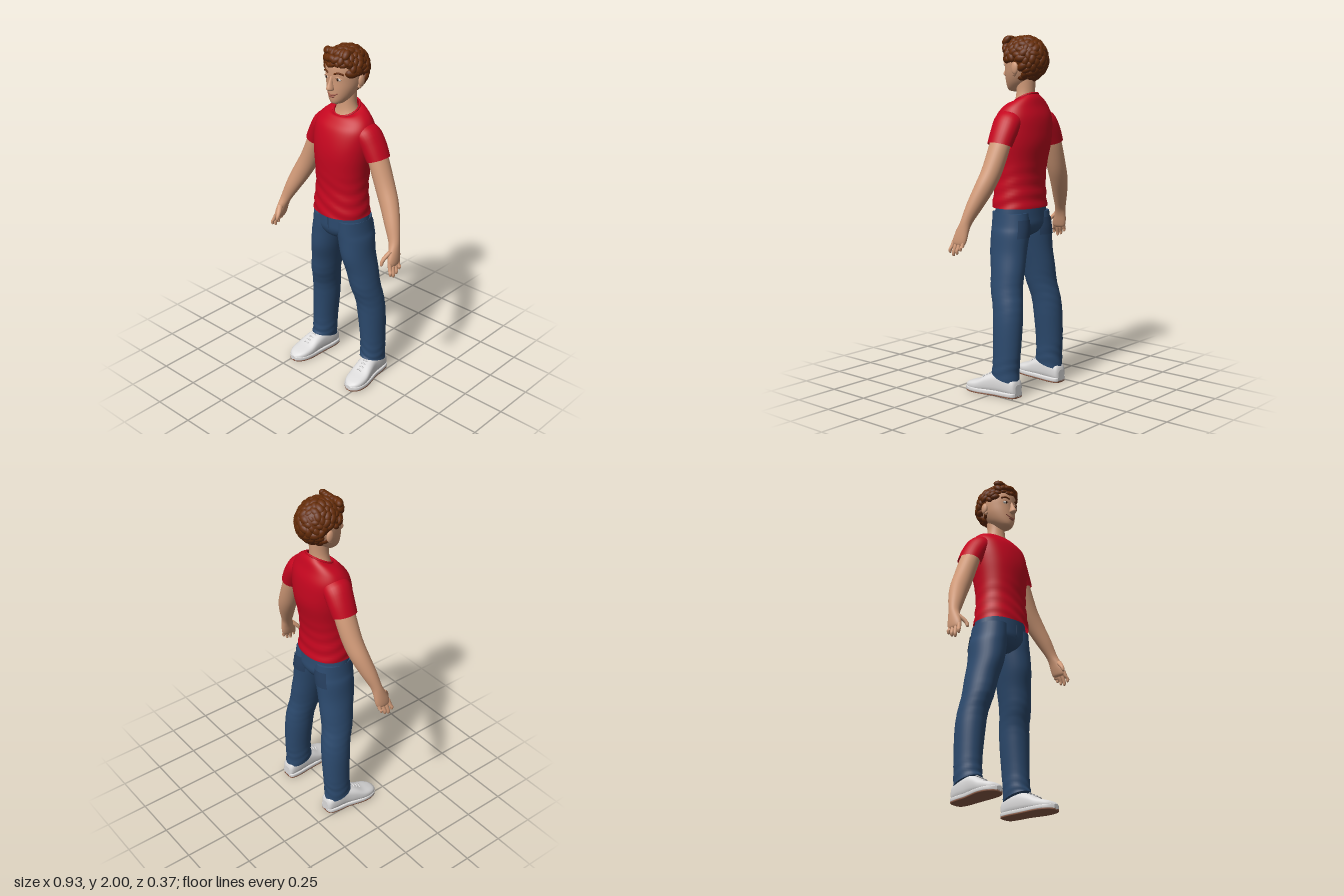
import * as THREE from 'three';
import { mergeGeometries } from 'three/addons/utils/BufferGeometryUtils.js';

const mat = (name, color, side = THREE.FrontSide) => {
  const m = new THREE.MeshStandardMaterial({ color, side });
  m.name = name;
  return m;
};

// Catmull-Rom between rows of numbers
function smoothRows(rows, k) {
  const out = [];
  for (let i = 0; i < rows.length - 1; i++) {
    const p = [rows[Math.max(i - 1, 0)], rows[i], rows[i + 1], rows[Math.min(i + 2, rows.length - 1)]];
    for (let s = 0; s < k; s++) {
      const t = s / k;
      out.push(rows[i].map((_, c) => {
        const [a, b, d, e] = p.map(r => r[c]);
        return b + 0.5 * t * (d - a + t * (2 * a - 5 * b + 4 * d - e + t * (3 * (b - d) + e - a)));
      }));
    }
  }
  out.push(rows[rows.length - 1]);
  return out;
}

// Skin over cross-sections. Row: [x, y, z, radiusU, radiusV, angle in degrees, tilt].
// Rings lie across y (rows go downward), or across z when alongZ (rows go forward).
function loft(input, { seg = 32, k = 4, power = 1, alongZ = false, start = 0, arc = Math.PI * 2, warp = null, caps = true } = {}) {
  const closed = arc > 6.28;
  let rows = smoothRows(input.map(r => [...r, 0, 0].slice(0, 7)), k);
  if (caps && closed) {
    const point = r => [r[0], r[1], r[2], 0, 0, 0, 0];
    const a = rows[0], b = rows[rows.length - 1];
    rows = [point(a), a, ...rows, b, point(b)];
  }
  const n = closed ? seg : seg + 1, pos = [], idx = [];
  const bend = v => Math.sign(v) * Math.abs(v) ** power;
  for (const [x, y, z, a, b, ang, tilt] of rows) {
    const g = ang * Math.PI / 180;
    for (let j = 0; j < n; j++) {
      const th = start + arc * j / seg, w = warp ? warp(y, th) : 1;
      const u = a * w * bend(Math.cos(th)), v = b * w * bend(Math.sin(th));
      if (alongZ) pos.push(x + u, y + v, z);
      else pos.push(x + u * Math.cos(g), y + u * Math.sin(g) + tilt * Math.sin(th), z + v);
    }
  }
  for (let i = 0; i < rows.length - 1; i++) for (let j = 0; j < seg; j++) {
    const p = i * n + j, q = i * n + (j + 1) % n;
    idx.push(p, q, p + n, q, q + n, p + n);
  }
  const geo = new THREE.BufferGeometry();
  geo.setAttribute('position', new THREE.Float32BufferAttribute(pos, 3));
  geo.setIndex(idx);
  geo.computeVertexNormals();
  return geo;
}

const tube = (pts, r, closed = false) => new THREE.TubeGeometry(
  new THREE.CatmullRomCurve3(pts.map(p => new THREE.Vector3(...p)), closed), closed ? 48 : 14, r, 8, closed);
const ball = (x, y, z, a, b, c) => new THREE.SphereGeometry(1, 20, 14).scale(a, b, c).translate(x, y, z);

export function createModel() {
  const root = new THREE.Group();
  root.name = 'standingMan';
  const skin = mat('skin', 0xd19a78), shirt = mat('redCotton', 0xc4061f, THREE.DoubleSide);
  const denim = mat('denim', 0x2c4a6e, THREE.DoubleSide), seam = mat('darkDenim', 0x263f5f, THREE.DoubleSide);
  const hair = mat('auburnHair', 0x642c08), white = mat('shoeWhite', 0xdcdbdb), rubber = mat('brownRubber', 0x8d5d48);
  const eyeWhite = mat('eyeWhite', 0xeee6de), iris = mat('darkIris', 0x2f1b10), lip = mat('lip', 0x9a5546);
  const add = (name, geo, m, parent = root) => {
    const mesh = new THREE.Mesh(geo, m);
    mesh.name = name;
    parent.add(mesh);
    return mesh;
  };

  // Shirt body with soft folds near the hem, and collar rim
  add('shirtBody', loft([
    [0, 1.645, -.045, .075, .065, 0, -.035], [0, 1.634, -.045, .115, .082, 0, -.02],
    [0, 1.60, -.04, .158, .10, 0, -.01], [0, 1.55, -.035, .182, .125], [0, 1.48, -.028, .183, .14],
    [0, 1.40, -.022, .174, .145], [0, 1.30, -.013, .16, .134], [0, 1.20, -.008, .156, .125],
    [0, 1.10, -.005, .166, .13], [0, 1.045, -.005, .172, .135],
  ], { seg: 56, k: 6, power: .92, caps: false,
    warp: (y, t) => 1 + .016 * Math.max(0, Math.min(1, (1.32 - y) / .15)) * Math.sin(y * 85 + 2.2 * Math.sin(2 * t) + 3 * Math.cos(t)) }), shirt);
  const rim = Array.from({ length: 16 }, (_, i) => {
    const t = i * Math.PI / 8;
    return [.075 * Math.cos(t), 1.646 - .035 * Math.sin(t), -.045 + .066 * Math.sin(t)];
  });
  add('collarRim', tube(rim, .006, true), shirt);

  // Neck and head
  add('neck', loft([[0, 1.77, -.05, .054, .055], [0, 1.69, -.047, .052, .052], [0, 1.64, -.045, .064, .056, 0, -.01],
    [0, 1.59, -.04, .09, .072, 0, -.01]]), skin);
  const head = new THREE.Group();
  head.name = 'head';
  root.add(head);
  add('face', loft([
    [0, 1.975, -.045, .03, .04], [0, 1.95, -.045, .075, .09], [0, 1.91, -.04, .097, .117], [0, 1.86, -.035, .1, .115],
    [0, 1.82, -.03, .096, .108], [0, 1.78, -.02, .087, .098], [0, 1.74, -.005, .07, .082],
    [0, 1.71, .014, .049, .06], [0, 1.693, .024, .03, .041], [0, 1.687, .024, .01, .012],
  ], { seg: 40 }), skin, head);
  add('nose', loft([[0, 1.85, .07, .008, .011], [0, 1.815, .078, .011, .02], [0, 1.786, .085, .018, .027],
    [0, 1.775, .083, .017, .021], [0, 1.769, .08, .006, .008]], { seg: 20 }), skin, head);
  add('mouth', tube([[-.036, 1.757, .066], [-.018, 1.746, .075], [0, 1.743, .0785], [.018, 1.746, .075], [.036, 1.757, .066]], .0035), lip, head);
  add('lowerLip', ball(0, 1.735, .075, .02, .006, .007), lip, head);
  for (const s of [1, -1]) {
    add('eye', ball(s * .04, 1.836, .064, .018, .009, .01), eyeWhite, head);
    add('iris', ball(s * .04, 1.836, .071, .0075, .0075, .0045), iris, head);
    add('upperLid', tube([[s * .019, 1.838, .073], [s * .04, 1.847, .071], [s * .061, 1.838, .06]], .004), skin, head);
    add('eyebrow', tube([[s * .018, 1.863, .077], [s * .042, 1.871, .07], [s * .068, 1.862, .053]], .0055), hair, head);
    add('ear', ball(s * .099, 1.815, -.05, .013, .035, .022).rotateY(0), skin, head);
    add('earLobe', ball(s * .093, 1.785, -.043, .01, .014, .012), skin, head);
  }

  // Curly hair: a cap with overlapping curls above the hairline
  add('hairCap', ball(0, 1.88, -.058, .106, .106, .12), hair, head);
  let seed = 7;
  const rnd = () => (seed = (seed * 16807) % 2147483647) / 2147483647;
  const curls = [], o = new THREE.Object3D(), centre = new THREE.Vector3(0, 1.865, -.045);
  const curl = (x, y, z, size) => {
    o.position.set(x, y, z);
    o.lookAt(2 * x - centre.x, 2 * y - centre.y, 2 * z - centre.z);
    o.rotateZ(rnd() * Math.PI);
    o.scale.set(size * 1.25, size * .85, size * .75);
    o.updateMatrix();
    curls.push(new THREE.SphereGeometry(1, 14, 10).applyMatrix4(o.matrix));
  };
  const total = 170;
  for (let i = 0; i < total; i++) {
    const h = 1 - 2 * (i + .5) / total, r = Math.sqrt(1 - h * h), t = i * 2.39996;
    const x = .1 * r * Math.cos(t), y = 1.865 + .114 * h, z = -.045 + .12 * r * Math.sin(t);
    const besideEar = Math.abs(x) > .07 && z > -.085;
    const line = z > .02 ? 1.915 : z > -.03 || besideEar ? 1.865 : 1.765;
    if (y > line) curl(x, y, z, .022 + .007 * rnd());
  }
  for (let i = -3; i <= 3; i++) {
    curl(i * .024, 1.945 - .004 * Math.abs(i), .072 - .004 * i * i, .024);
    curl(i * .026 + .006, 1.914 + .009 * (i % 2), .073 - .0045 * i * i, .019);
    curl(i * .022, 1.968, .035, .026);
  }
  for (const s of [1, -1]) {
    curl(s * .096, 1.89, .012, .021);
    curl(s * .1, 1.862, -.012, .018);
  }
  add('curls', mergeGeometries(curls), hair, head);

  // Hips of the jeans, with fly seam
  add('jeansHips', loft([[0, 1.07, -.012, .165, .12], [0, 1.0, -.013, .174, .121], [0, .95, -.015, .17, .12],
    [0, .91, -.016, .11, .10], [0, .885, -.018, .04, .06]], { seg: 40 }), denim);
  add('flySeam', tube([[0, 1.03, .107], [0, .98, .107], [0, .94, .1]], .003), seam);

  for (const s of [1, -1]) {
    const side = s > 0 ? 'left' : 'right';
    const flip = rows => rows.map(r => [s * r[0], r[1], r[2], r[3], r[4], s * (r[5] || 0), r[6] || 0]);

    // Sleeve, arm and hand
    add(side + 'Sleeve', loft(flip([[.09, 1.55, -.042, .05, .07, 72], [.15, 1.522, -.045, .066, .082, 50],
      [.192, 1.465, -.05, .064, .078, 30], [.226, 1.40, -.05, .06, .072, 20]]), { caps: false }), shirt);
    add(side + 'Arm', loft(flip([[.20, 1.46, -.05, .05, .058, 25], [.232, 1.38, -.05, .054, .06, 25],
      [.283, 1.26, -.042, .056, .055, 28], [.33, 1.17, -.026, .054, .051, 28], [.375, 1.08, 0, .045, .043, 25],
      [.41, 1.0, .024, .033, .032, 20], [.424, .955, .038, .027, .038, 14], [.433, .91, .05, .023, .046, 10],
      [.438, .88, .056, .018, .044, 8], [.44, .868, .058, .01, .032, 8]])), skin);
    const tips = [.84, .82, .81, .825];
    tips.forEach((y, i) => {
      const z = .024 + .0225 * i, z2 = .03 + .025 * i;
      add(side + 'Finger', loft(flip([[.437, .895, z, .011, .011], [.447, .862, (z + z2) / 2, .0115, .0115],
        [.456, y + .02, z2, .01, .01], [.455, y + .004, z2, .007, .007], [.455, y, z2, .002, .002]]), { seg: 12 }), skin);
    });
    add(side + 'Thumb', loft(flip([[.425, .955, .065, .014, .018], [.41, .925, .092, .014, .016], [.402, .9, .11, .011, .012],
      [.402, .88, .117, .008, .008], [.402, .874, .117, .002, .002]]), { seg: 14 }), skin);

    // Trouser leg with creases at knee and cuff, and back pocket
    const leg = flip([[.088, 1.02, -.013, .084, .114], [.092, .95, -.016, .09, .117], [.1, .9, -.018, .094, .117],
      [.115, .8, -.018, .088, .113], [.135, .7, -.03, .084, .103], [.153, .6, -.038, .081, .096],
      [.17, .5, -.06, .078, .09], [.18, .4, -.068, .077, .088], [.19, .25, -.07, .07, .083],
      [.193, .16, -.066, .069, .081], [.195, .105, -.063, .067, .086, 0, .025]]);
    const crease = (y, t) => 1 + (.02 * Math.exp(-(((y - .16) / .08) ** 2)) + .01 * Math.exp(-(((y - .55) / .1) ** 2)))
      * Math.sin(y * 120 + s * 2.5 * Math.cos(t) + 2 * Math.sin(2 * t));
    add(side + 'TrouserLeg', loft(leg, { seg: 36, k: 6, warp: crease }), denim);
    add(side + 'BackPocket', loft(flip([[.09, .985, -.014, .091, .121], [.095, .93, -.017, .095, .122], [.102, .885, -.018, .098, .121]]),
      { seg: 12, start: -Math.PI / 2 - .62, arc: 1.24 }), seam);

    // Shoe: rows are [x, z, half width, height]
    const foot = [[.194, -.156, .028, .075], [.195, -.142, .046, .105], [.198, -.09, .054, .13], [.203, -.03, .055, .132],
      [.212, .03, .061, .112], [.219, .085, .066, .08], [.223, .135, .06, .063], [.225, .168, .043, .05], [.225, .187, .016, .034]];
    const layer = (bottom, top, grow) => foot.map(([x, z, w, h]) => {
      const hi = top ?? h;
      return [s * x, (bottom + hi) / 2, z, w + grow, (hi - bottom) / 2];
    });
    add(side + 'ShoeUpper', loft(layer(.008, null, -.002), { alongZ: true, power: .75 }), white);
    add(side + 'Midsole', loft(layer(.005, .032, .002), { alongZ: true, power: .4 }), white);
    add(side + 'Outsole', loft(layer(0, .012, .001), { alongZ: true, power: .4 }), rubber);
    for (let i = 0; i < 4; i++) {
      const z = .015 + i * .02, y = .12 - i * .011, x = s * (.21 + i * .002);
      add(side + 'Lace', tube([[x - .03, y - .018, z], [x, y + .002, z + .006], [x + .03, y - .018, z]], .004), white);
    }
  }
  return root;
}
